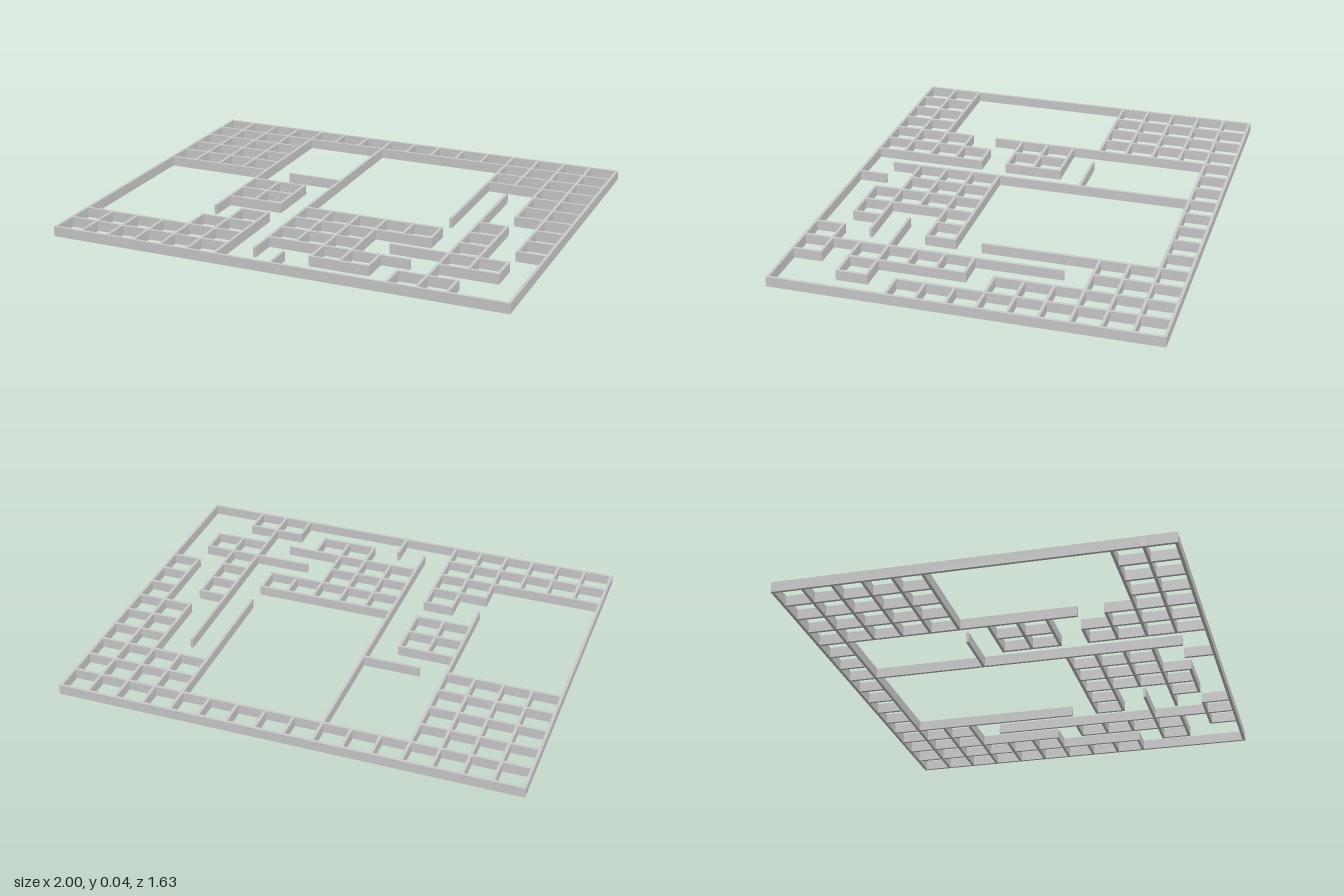
import * as THREE from 'three';

const COLS = 16, ROWS = 13;      // cells
const PITCH = 0.1242;            // cell size
const THICK = 0.0125;            // wall thickness
const HEIGHT = 0.044;

// Walls running along x: for each grid row, pairs of [from, to] columns
const ROW_WALLS = [
  [[0, 16]],
  [[0, 16]],
  [[0, 4], [12, 16]],
  [[0, 4], [12, 16]],
  [[0, 4], [14, 16]],
  [[0, 4], [5, 7], [14, 16]],
  [[4, 6], [14, 16]],
  [[4, 6], [13, 14], [15, 16]],
  [[4, 6], [7, 12], [13, 14], [15, 16]],
  [[5, 6], [7, 12], [13, 14], [15, 16]],
  [[4, 6], [7, 10], [11, 15]],
  [[0, 6], [7, 12], [13, 15]],
  [[0, 6], [9, 11], [12, 14]],
  [[0, 16]],
];

// Walls running along z: for each grid column, pairs of [from, to] rows
const COLUMN_WALLS = [
  [[0, 13]],
  [[0, 5], [11, 13]],
  [[0, 5], [11, 13]],
  [[0, 5], [11, 13]],
  [[0, 9], [10, 13]],
  [[0, 1], [6, 8], [9, 13]],
  [[0, 1], [6, 8], [9, 13]],
  [[0, 12]],
  [[0, 1], [8, 11], [12, 13]],
  [[0, 1], [8, 12]],
  [[0, 1], [8, 12]],
  [[0, 1], [8, 9], [11, 12]],
  [[0, 7], [8, 9], [12, 13]],
  [[0, 3], [4, 13]],
  [[0, 6], [7, 11], [12, 13]],
  [[0, 9], [10, 11]],
  [[0, 13]],
];

export function createModel() {
  const model = new THREE.Group();
  model.name = 'mazeWalls';
  const material = new THREE.MeshStandardMaterial({ color: 0xcccccc });
  const gx = (i) => (i - COLS / 2) * PITCH;
  const gz = (j) => (j - ROWS / 2) * PITCH;

  // One straight wall between two grid points
  function addWall(parent, name, i0, j0, i1, j1) {
    const geometry = new THREE.BoxGeometry(
      (i1 - i0) * PITCH + THICK, HEIGHT, (j1 - j0) * PITCH + THICK);
    const wall = new THREE.Mesh(geometry, material);
    wall.name = name;
    wall.position.set(gx((i0 + i1) / 2), HEIGHT / 2, gz((j0 + j1) / 2));
    parent.add(wall);
  }

  const across = new THREE.Group();
  across.name = 'crossWalls';
  ROW_WALLS.forEach((spans, j) => spans.forEach(([a, b]) =>
    addWall(across, j === 0 ? 'backWall' : j === ROWS ? 'frontWall' : 'crossWall', a, j, b, j)));

  const along = new THREE.Group();
  along.name = 'lengthwiseWalls';
  COLUMN_WALLS.forEach((spans, i) => spans.forEach(([a, b]) =>
    addWall(along, i === 0 ? 'rightWall' : i === COLS ? 'leftWall' : 'lengthwiseWall', i, a, i, b)));

  model.add(across, along);
  return model;
}
